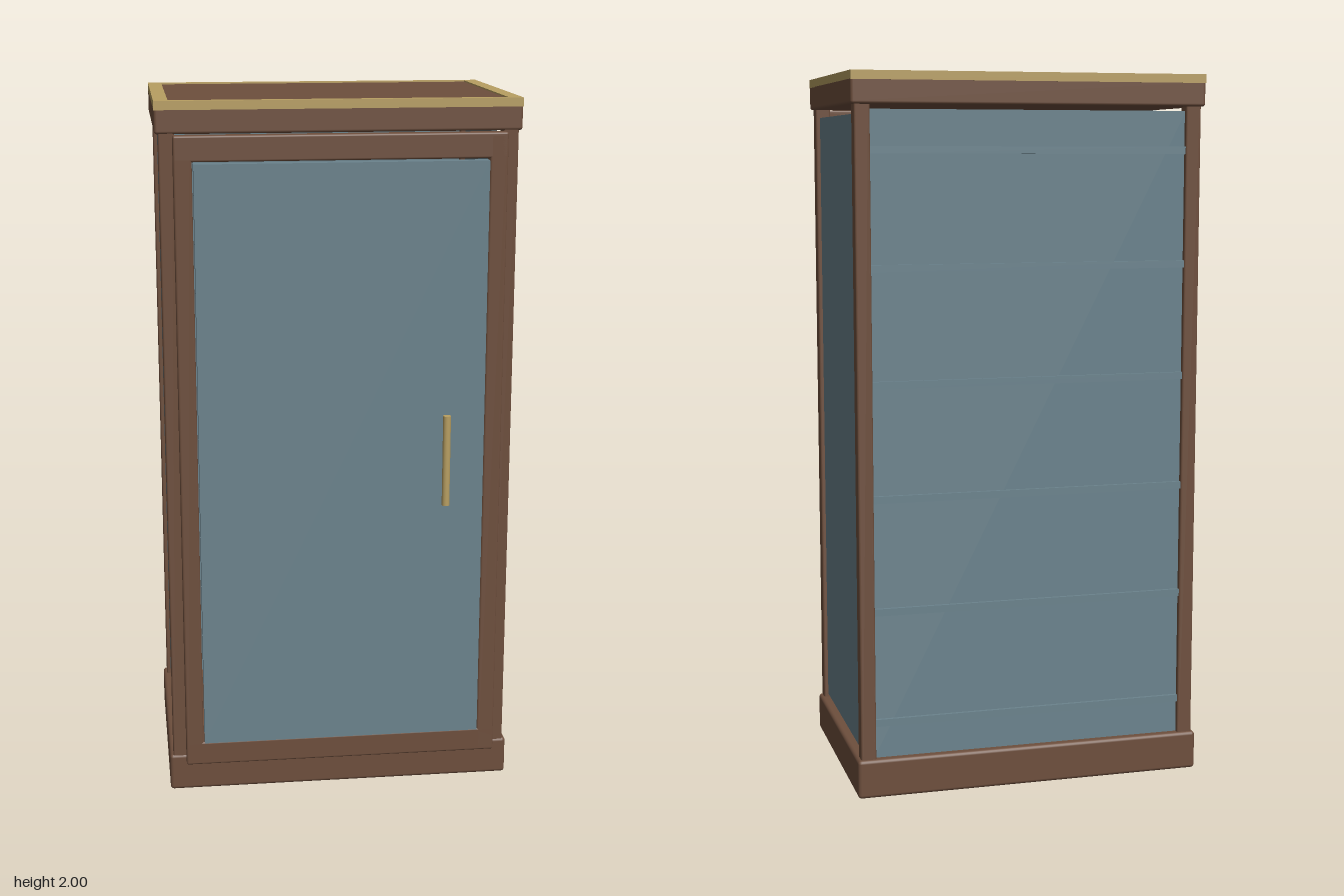
import * as THREE from 'three';
import { RoundedBoxGeometry } from 'three/addons/geometries/RoundedBoxGeometry.js';

export function createModel() {
  const model = new THREE.Group();
  model.name = 'cabinet';

  const material = (name, color) => {
    const m = new THREE.MeshStandardMaterial({ color });
    m.name = name;
    return m;
  };
  const wood = material('brown wood', 0x6e4f3d);
  const panel = material('blue grey panel', 0x6b838d);
  const brass = material('brass', 0xb89f62);

  // Box given by its limits on each axis; radius softens the edges
  const box = (name, mat, [x0, x1], [y0, y1], [z0, z1], radius = 0, parent = model) => {
    const size = [x1 - x0, y1 - y0, z1 - z0];
    const geometry = radius
      ? new RoundedBoxGeometry(...size, 2, radius)
      : new THREE.BoxGeometry(...size);
    const mesh = new THREE.Mesh(geometry, mat);
    mesh.position.set((x0 + x1) / 2, (y0 + y1) / 2, (z0 + z1) / 2);
    mesh.name = name;
    parent.add(mesh);
    return mesh;
  };

  const back = -0.375, front = 0.287;

  // Plinth and cornice
  box('base', wood, [-0.5, 0.5], [0, 0.11], [back, front], 0.01);
  box('cornice', wood, [-0.5, 0.5], [1.912, 1.985], [back, front], 0.008);
  box('topPanel', wood, [-0.462, 0.462], [1.98, 1.996], [-0.355, 0.263]);

  // Brass rim round the top
  const rim = new THREE.Group();
  rim.name = 'topRim';
  model.add(rim);
  box('rimBack', brass, [-0.5, 0.5], [1.976, 2], [back - 0.001, -0.354], 0, rim);
  box('rimFront', brass, [-0.5, 0.5], [1.976, 2], [0.262, front + 0.001], 0, rim);
  for (const s of [-1, 1]) {
    const xs = [s * 0.461, s * 0.5].sort((a, b) => a - b);
    box('rimSide', brass, xs, [1.976, 2], [-0.354, 0.262], 0, rim);
  }

  // Corner posts and side panels
  for (const s of [-1, 1]) {
    const span = (a, b) => [s * a, s * b].sort((p, q) => p - q);
    box('frontPost', wood, span(0.447, 0.49), [0.1, 1.92], [0.24, 0.284], 0.005);
    box('backPost', wood, span(0.447, 0.49), [0.1, 1.92], [-0.366, -0.322], 0.005);
    box('sidePanel', panel, span(0.462, 0.478), [0.12, 1.888], [-0.33, 0.25]);
  }

  // Back panel with horizontal battens
  box('backPanel', panel, [-0.45, 0.45], [0.11, 1.9], [-0.352, -0.336]);
  for (let i = 0; i < 6; i++) {
    const y = 0.212 + i * 0.316;
    box('backBatten', panel, [-0.45, 0.45], [y - 0.01, y + 0.01], [-0.362, -0.35]);
  }

  // Door: frame, raised panel and handle
  const door = new THREE.Group();
  door.name = 'door';
  model.add(door);
  const depth = [0.291, 0.328];
  box('bottomRail', wood, [-0.453, 0.453], [0.096, 0.166], depth, 0.006, door);
  box('topRail', wood, [-0.453, 0.453], [1.842, 1.912], depth, 0.006, door);
  box('rightStile', wood, [-0.453, -0.403], [0.1, 1.908], depth, 0.006, door);
  box('leftStile', wood, [0.403, 0.453], [0.1, 1.908], depth, 0.006, door);
  box('doorPanel', panel, [-0.4, 0.4], [0.169, 1.838], [0.31, 0.342], 0, door);

  const handle = new THREE.Mesh(new THREE.CylinderGeometry(0.011, 0.011, 0.26, 20), brass);
  handle.position.set(0.29, 1.005, 0.365);
  handle.name = 'handle';
  door.add(handle);

  return model;
}
